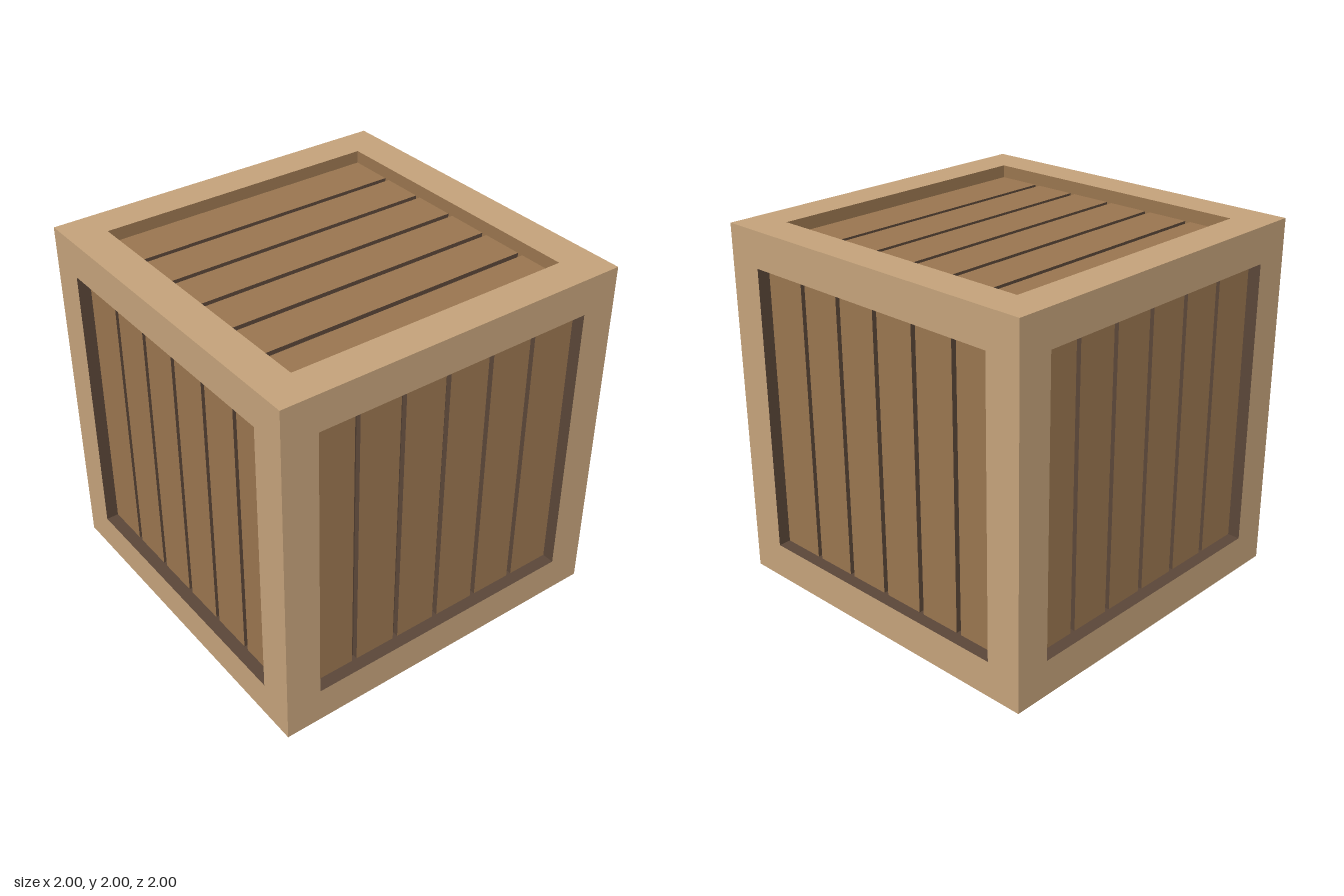
import * as THREE from 'three';

const HALF = 1;        // half the crate's side
const OPEN = 0.8;      // half the panel opening
const RECESS = 0.07;   // panel depth behind the frame
const GROOVE = 0.03;   // groove width and depth
const PLANKS = 6;

const flat = (name, color) => {
  const m = new THREE.MeshStandardMaterial({ color });
  m.name = name;
  return m;
};

export function createModel() {
  const frameWood = flat('frameWood', 0xc4a27a);
  const plankWood = flat('plankWood', 0x99754f);
  const darkWood = flat('darkWood', 0x5a4638);

  const add = (parent, name, geometry, material, x = 0, y = 0, z = 0) => {
    const mesh = new THREE.Mesh(geometry, material);
    mesh.name = name;
    mesh.position.set(x, y, z);
    parent.add(mesh);
    return mesh;
  };

  const square = (target, s) => target
    .moveTo(-s, -s).lineTo(s, -s).lineTo(s, s).lineTo(-s, s).closePath();

  // Flat border with a square opening
  const border = square(new THREE.Shape(), HALF);
  border.holes.push(square(new THREE.Path(), OPEN));
  const borderGeometry = new THREE.ShapeGeometry(border);

  // One crate side, facing +z
  function makeSide(name, revealMaterial) {
    const side = new THREE.Group();
    side.name = name;
    add(side, 'frame', borderGeometry, frameWood, 0, 0, HALF);

    // Inner walls of the opening
    for (let i = 0; i < 4; i++) {
      const wall = new THREE.PlaneGeometry(2 * OPEN, RECESS + GROOVE);
      wall.rotateX(-Math.PI / 2);
      wall.translate(0, -OPEN, HALF - (RECESS + GROOVE) / 2);
      wall.rotateZ(i * Math.PI / 2);
      add(side, 'frameInnerEdge', wall, revealMaterial);
    }

    // Groove floor behind the planks
    add(side, 'grooveFloor', new THREE.PlaneGeometry(2 * OPEN, 2 * OPEN), darkWood,
      0, 0, HALF - RECESS - GROOVE);

    // Planks with dark edges
    const pitch = 2 * OPEN / PLANKS;
    const plankMaterials = [darkWood, darkWood, darkWood, darkWood, plankWood, darkWood];
    for (let i = 0; i < PLANKS; i++) {
      const x0 = -OPEN + i * pitch + (i > 0 ? GROOVE / 2 : 0);
      const x1 = -OPEN + (i + 1) * pitch - (i < PLANKS - 1 ? GROOVE / 2 : 0);
      add(side, 'plank', new THREE.BoxGeometry(x1 - x0, 2 * OPEN, GROOVE), plankMaterials,
        (x0 + x1) / 2, 0, HALF - RECESS - GROOVE / 2);
    }
    return side;
  }

  const crate = new THREE.Group();
  crate.name = 'crate';

  // Four upright sides
  ['frontSide', 'leftSide', 'backSide', 'rightSide'].forEach((name, i) => {
    const side = makeSide(name, darkWood);
    side.position.y = HALF;
    side.rotation.y = i * Math.PI / 2;
    crate.add(side);
  });

  // Lid and base
  [['lid', -1], ['base', 1]].forEach(([name, turn]) => {
    const side = makeSide(name, plankWood);
    side.position.y = HALF;
    side.rotation.x = turn * Math.PI / 2;
    crate.add(side);
  });

  return crate;
}
